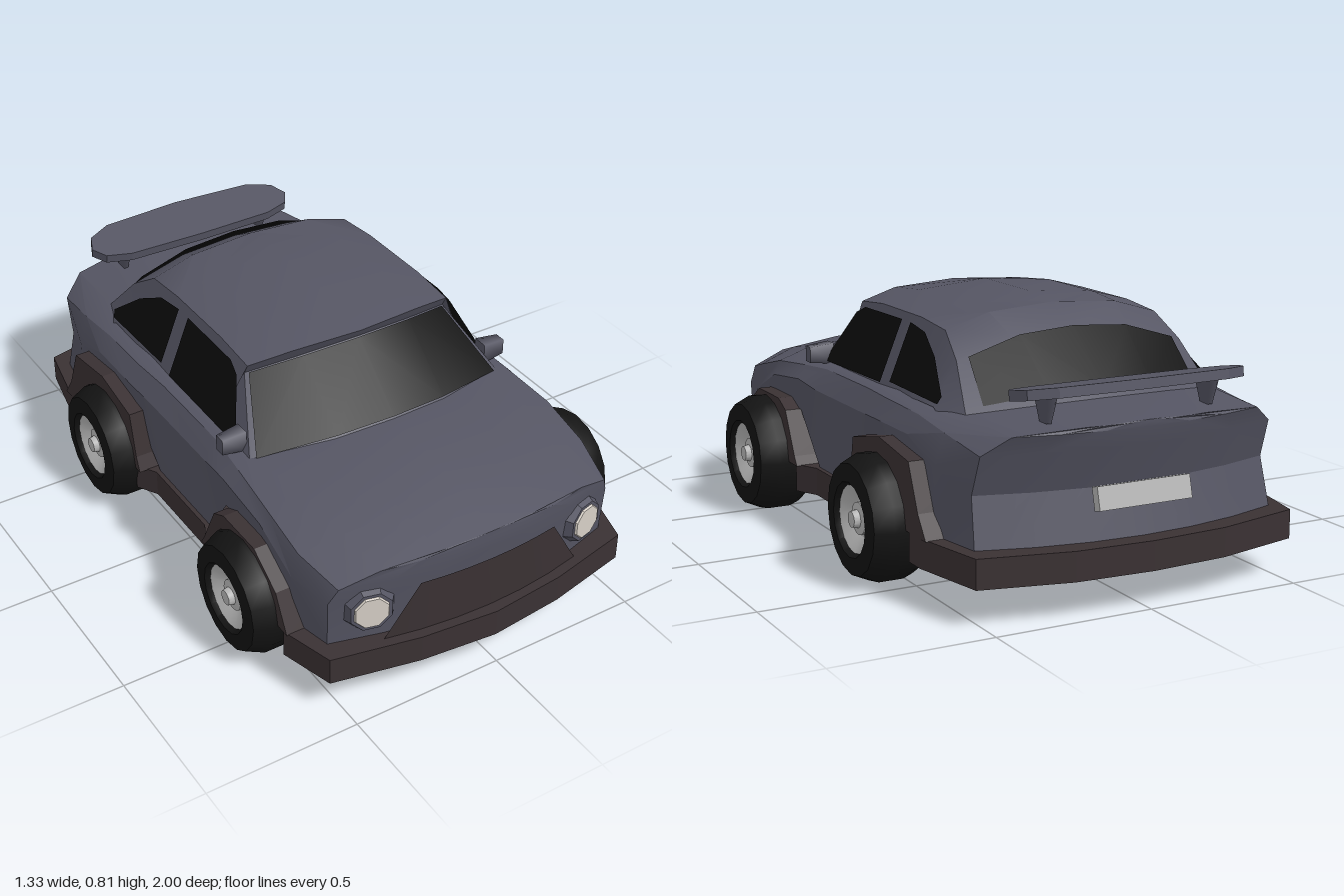
import * as THREE from 'three';
import { toCreasedNormals } from 'three/addons/utils/BufferGeometryUtils.js';

const mat = (color) => new THREE.MeshStandardMaterial({ color, side: THREE.DoubleSide });
const paint = mat(0x555563), trim = mat(0x3a3133), glass = mat(0x0b0b0b);
const rubber = mat(0x131313), metal = mat(0xb8b8b8), lens = mat(0xd6cfc6);

function add(parent, name, geometry, material, x = 0, y = 0, z = 0) {
  const mesh = new THREE.Mesh(geometry, material);
  mesh.name = name;
  mesh.position.set(x, y, z);
  parent.add(mesh);
  return mesh;
}

// Skin rows of points with quads (diagonals mirrored about the centre), keeping sharp edges.
function skin(rows) {
  const pos = [];
  const tri = (...v) => v.forEach((p) => pos.push(...p));
  for (let r = 0; r + 1 < rows.length; r++) {
    const a = rows[r], b = rows[r + 1];
    for (let i = 0; i + 1 < a.length; i++) {
      if (i < (a.length - 1) / 2) {
        tri(a[i], b[i], b[i + 1]);
        tri(a[i], b[i + 1], a[i + 1]);
      } else {
        tri(a[i], b[i], a[i + 1]);
        tri(b[i], b[i + 1], a[i + 1]);
      }
    }
  }
  const g = new THREE.BufferGeometry();
  g.setAttribute('position', new THREE.Float32BufferAttribute(pos, 3));
  return toCreasedNormals(g, 0.45);
}

// Half section (outer bottom to centre) mirrored to a full row, bowed in plan.
const ring = ([z, bow, ...half]) => {
  const left = half.map(([x, y, dz = 0]) => [x, y, z - bow * x * x + dz]);
  return [...left, ...left.slice(0, -1).reverse().map(([x, y, w]) => [-x, y, w])];
};

// Cap that closes an end section with curved rows across the car.
function cap([z, bow, ...half], front) {
  const rows = half.map(([w, y, dz = 0]) => {
    const row = [];
    for (let i = -3; i <= 3; i++) {
      const x = (w * i) / 3;
      row.push([x, y, z - bow * x * x + dz]);
    }
    return front ? row.reverse() : row;
  });
  return skin(rows);
}

// Glass laid between two sections, lifted slightly off the skin.
function paneBetween(a, b, t0, t1, widths, up, out) {
  const A = ring(a).slice(1, -1), B = ring(b).slice(1, -1);
  return skin([t0, t1].map((t, k) => A.map((p, i) => {
    const q = p.map((v, j) => v + (B[i][j] - v) * t);
    return [q[0] * widths[k], q[1] + up, q[2] + out];
  })));
}

const shapeOf = (pts) => new THREE.Shape(pts.map(([x, y]) => new THREE.Vector2(x, y)));
const extrude = (pts, depth) =>
  new THREE.ExtrudeGeometry(shapeOf(pts), { depth, bevelEnabled: false });

// Plan outline given as left-hand half [x, z], extruded upward.
function slab(half, depth) {
  const pts = half.map(([x, z]) => [x, -z]);
  const other = pts.slice(1, -1).reverse().map(([x, y]) => [-x, y]);
  return extrude([...pts, ...other], depth).rotateX(-Math.PI / 2);
}

function makeWheel() {
  const wheel = new THREE.Group();
  const lathe = (pts, n) => toCreasedNormals(
    new THREE.LatheGeometry(pts.map(([r, h]) => new THREE.Vector2(r, h)), n).rotateZ(-Math.PI / 2), 0.6);
  add(wheel, 'tyre', lathe([[0, -0.085], [0.182, -0.085], [0.195, -0.05], [0.195, 0.03],
    [0.17, 0.085], [0.115, 0.09], [0.104, 0.075], [0.102, 0.02]], 16), rubber);
  add(wheel, 'rim', lathe([[0.106, 0.076], [0.098, 0.072], [0.058, 0.045], [0.05, 0.045],
    [0.05, 0.06], [0.028, 0.064], [0.024, 0.083], [0, 0.086]], 16), metal);
  return wheel;
}

export function createModel() {
  const car = new THREE.Group();
  car.name = 'car';

  // Coachwork sits a touch to the right of the wheels
  const shell = new THREE.Group();
  shell.name = 'coachwork';
  shell.position.x = -0.01;
  car.add(shell);

  // Lower body, nose to tail
  const body = [
    [0.955, 0.33, [0.5, 0.2, -0.02], [0.505, 0.36, -0.01], [0.48, 0.415], [0.36, 0.457], [0.18, 0.473], [0, 0.477]],
    [0.8, 0.3, [0.53, 0.2], [0.535, 0.37], [0.515, 0.452], [0.38, 0.495], [0.2, 0.513], [0, 0.52]],
    [0.6, 0.2, [0.53, 0.38], [0.538, 0.45], [0.515, 0.495], [0.4, 0.528], [0.2, 0.545], [0, 0.55]],
    [0.44, 0.4, [0.53, 0.37], [0.538, 0.475], [0.5, 0.515], [0.45, 0.53], [0.2, 0.552], [0, 0.56]],
    [0.2, 0, [0.52, 0.2], [0.53, 0.46], [0.49, 0.525], [0.45, 0.54], [0.2, 0.55], [0, 0.56]],
    [-0.13, 0, [0.52, 0.2], [0.53, 0.46], [0.49, 0.525], [0.45, 0.54], [0.2, 0.55], [0, 0.56]],
    [-0.28, 0, [0.53, 0.38], [0.537, 0.465], [0.5, 0.525], [0.45, 0.545], [0.2, 0.55], [0, 0.56]],
    [-0.5, 0, [0.53, 0.38], [0.537, 0.465], [0.5, 0.52], [0.45, 0.54], [0.2, 0.55], [0, 0.56]],
    [-0.72, -0.2, [0.53, 0.2], [0.53, 0.4], [0.5, 0.5], [0.42, 0.535], [0.2, 0.555], [0, 0.56]],
    [-0.96, -0.35, [0.5, 0.2, 0.02], [0.49, 0.35, 0.06], [0.485, 0.47, 0.02], [0.41, 0.525], [0.2, 0.54], [0, 0.545]],
  ];
  add(shell, 'body', skin(body.map(ring)), paint);
  add(shell, 'nose', cap(body[0], true), paint);
  add(shell, 'tail', cap(body[body.length - 1], false), paint);

  // Cabin, windscreen base to rear window base
  const cabin = [
    [0.44, 0.4, [0.46, 0.52], [0.455, 0.522], [0.2, 0.552], [0, 0.56]],
    [0.235, 0.5, [0.46, 0.53], [0.365, 0.705], [0.2, 0.735], [0, 0.748]],
    [0.255, 0.5, [0.46, 0.53], [0.365, 0.74], [0.23, 0.77], [0, 0.78]],
    [0.03, 0, [0.46, 0.53], [0.365, 0.755], [0.235, 0.79], [0, 0.81]],
    [-0.25, 0, [0.46, 0.53], [0.365, 0.755], [0.235, 0.79], [0, 0.81]],
    [-0.41, 0, [0.46, 0.54], [0.365, 0.74], [0.22, 0.783], [0, 0.798]],
    [-0.52, 0, [0.46, 0.54], [0.385, 0.67], [0.2, 0.722], [0, 0.735]],
    [-0.72, -0.4, [0.47, 0.49], [0.42, 0.53], [0.2, 0.555], [0, 0.56]],
  ];
  add(shell, 'cabin', skin(cabin.map(ring)), paint);
  add(shell, 'windscreen', paneBetween(cabin[0], cabin[1], 0.02, 0.98, [0.97, 0.97], 0.007, 0.007), glass);
  add(shell, 'rearWindow', paneBetween(cabin[6], cabin[7], 0.02, 0.9, [0.91, 0.87], 0.013, -0.008), glass);

  // Side windows, leaned onto the cabin sides
  const windows = {
    frontSideWindow: [[0.27, 0.54], [0.25, 0.585], [0.17, 0.71], [0.12, 0.732], [-0.15, 0.735], [-0.15, 0.545]],
    rearSideWindow: [[-0.21, 0.735], [-0.32, 0.722], [-0.43, 0.668], [-0.55, 0.575], [-0.54, 0.552], [-0.21, 0.557]],
  };
  for (const s of [1, -1]) {
    for (const [name, pts] of Object.entries(windows)) {
      const g = new THREE.ShapeGeometry(shapeOf(pts));
      const p = g.attributes.position;
      for (let i = 0; i < p.count; i++) {
        const z = p.getX(i), y = p.getY(i);
        p.setXYZ(i, s * (0.467 - 0.41 * (y - 0.53)), y, z);
      }
      g.computeVertexNormals();
      add(shell, name, g, glass);
    }
  }

  // Floor with bumpers, sills and wheel notches in one outline
  add(shell, 'floorAndBumpers', slab([[0, 1], [0.25, 0.975], [0.53, 0.915], [0.58, 0.74],
    [0.4, 0.7], [0.3, 0.6], [0.3, 0.43], [0.4, 0.33], [0.575, 0.27], [0.535, 0.19], [0.535, -0.13],
    [0.575, -0.2], [0.4, -0.2], [0.3, -0.3], [0.3, -0.47], [0.4, -0.57], [0.58, -0.6],
    [0.58, -0.67], [0.53, -0.92], [0.25, -0.985], [0, -1]], 0.09), trim, 0, 0.112, 0);
  add(shell, 'innerWells', new THREE.BoxGeometry(0.6, 0.25, 1.5), trim, 0, 0.3, 0.03);

  // Wheel arches and wheels
  const axles = [
    ['front', 0.515, [[0.76, 0.2], [0.7, 0.32], [0.58, 0.4], [0.4, 0.4], [0.34, 0.37], [0.27, 0.23], [0.25, 0.2]]],
    ['rear', -0.385, [[-0.16, 0.2], [-0.18, 0.25], [-0.21, 0.4], [-0.4, 0.44], [-0.6, 0.41], [-0.66, 0.27], [-0.71, 0.2]]],
  ];
  for (const [end, z, outer] of axles) {
    const notch = [];
    for (let i = 0; i <= 8; i++) {
      const a = Math.PI * (1 - i / 8);
      notch.push([z + 0.195 * Math.cos(a), 0.2 + 0.19 * Math.sin(a)]);
    }
    for (const s of [1, -1]) {
      const arch = extrude([...outer, ...notch], 0.28).rotateY(-Math.PI / 2);
      add(shell, end + 'Arch', arch, trim, s > 0 ? 0.58 : -0.3, 0, 0);
      const wheel = makeWheel();
      wheel.name = end + 'Wheel';
      wheel.position.set(s * 0.573, 0.195, z);
      wheel.rotation.y = s > 0 ? 0 : Math.PI;
      car.add(wheel);
    }
  }

  // Grille following the nose curve
  const grille = [[0.24, 0.38], [0.35, 0.2]].map(([w, y]) =>
    [3, 2, 1, 0, -1, -2, -3].map((i) => [(w * i) / 3, y, 0.962 - 0.33 * ((w * i) / 3) ** 2]));
  add(shell, 'grille', skin(grille), trim);

  for (const s of [1, -1]) {
    // Headlamps
    const lamp = new THREE.Group();
    lamp.name = 'headlamp';
    lamp.position.set(s * 0.385, 0.318, 0.9);
    lamp.rotation.y = s * 0.25;
    const disc = (r0, r1, h, n) => new THREE.CylinderGeometry(r0, r1, h, n).rotateY(Math.PI / 8).rotateX(Math.PI / 2);
    add(lamp, 'headlampSurround', toCreasedNormals(disc(0.068, 0.084, 0.03, 8), 0.3), paint);
    add(lamp, 'headlampLens', toCreasedNormals(disc(0.054, 0.06, 0.01, 8), 0.3), lens, 0, 0, 0.016);
    shell.add(lamp);

    // Door mirrors
    const mirror = add(shell, 'doorMirror', new THREE.CylinderGeometry(0.036, 0.048, 0.08, 4)
      .rotateY(Math.PI / 4).rotateZ(-Math.PI / 2).scale(1, 1, 0.75), paint, s * 0.48, 0.563, 0.28);
    mirror.rotation.y = s > 0 ? 0 : Math.PI;

    // Spoiler posts
    add(shell, 'spoilerPost', new THREE.CylinderGeometry(0.06, 0.03, 0.08, 4).rotateY(Math.PI / 4)
      .scale(0.35, 1, 1), paint, s * 0.27, 0.58, -0.84);
  }

  // Spoiler blade, raised at the rear
  const blade = add(shell, 'spoilerBlade', slab([[0, 0.1], [0.27, 0.095], [0.355, 0.07], [0.385, 0.02],
    [0.36, -0.04], [0.28, -0.08], [0, -0.095]], 0.03), paint, 0, 0.615, -0.86);
  blade.rotation.x = 0.17;

  // Plate panel on the tail
  const plate = add(shell, 'rearPlate', new THREE.BoxGeometry(0.31, 0.07, 0.03), metal, 0, 0.325, -0.928);
  plate.rotation.x = 0.25;
  return car;
}
